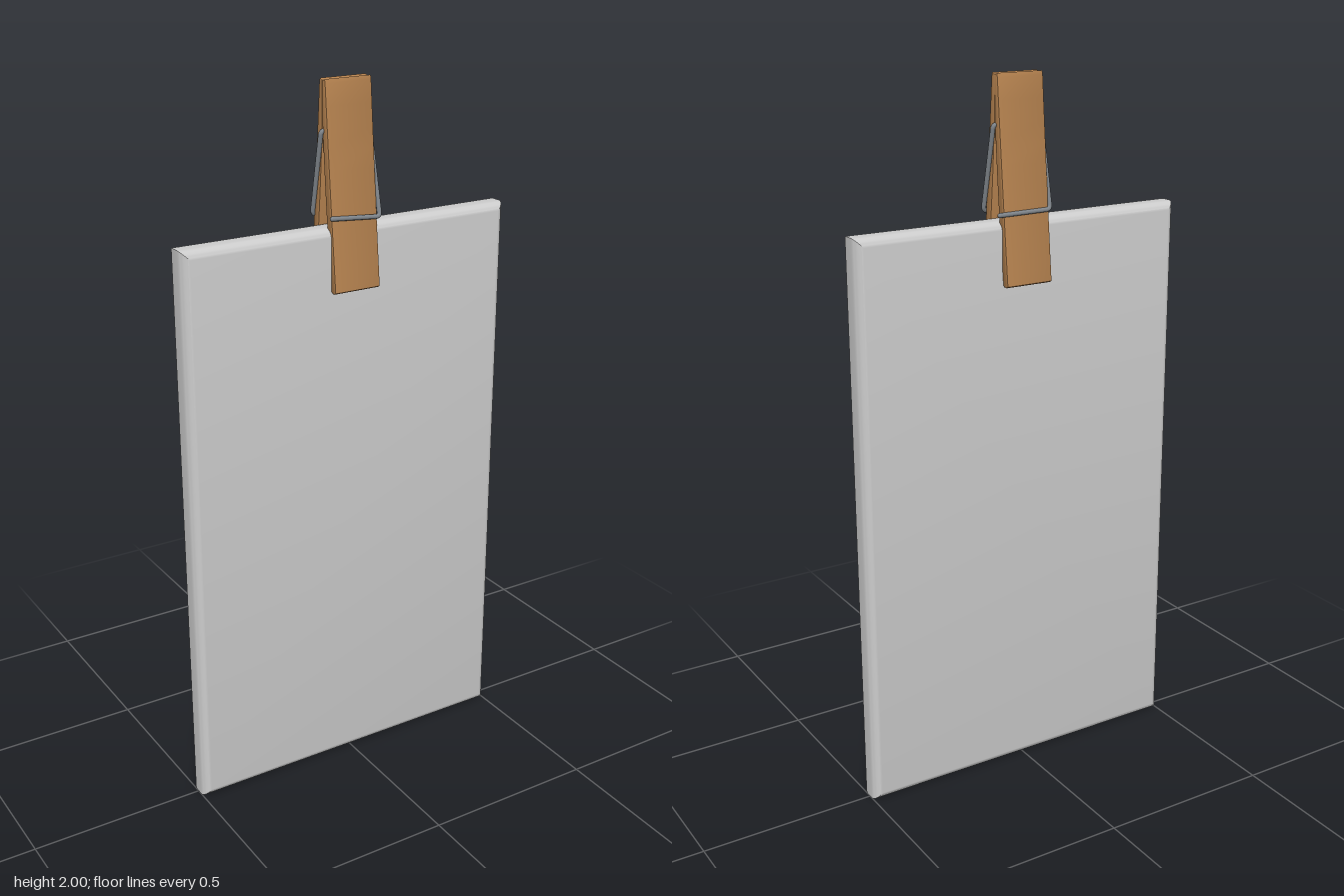
import * as THREE from 'three';
import { toCreasedNormals } from 'three/addons/utils/BufferGeometryUtils.js';

const material = (color) => new THREE.MeshStandardMaterial({ color });

function addMesh(parent, name, geometry, mat) {
  const mesh = new THREE.Mesh(geometry, mat);
  mesh.name = name;
  parent.add(mesh);
  return mesh;
}

// Flat panel with rounded edges that meet in mitred corners
function panelGeometry(width, height, depth, round) {
  const w = width / 2 - round, h = height / 2 - round;
  const shape = new THREE.Shape([
    new THREE.Vector2(-w, -h), new THREE.Vector2(w, -h),
    new THREE.Vector2(w, h), new THREE.Vector2(-w, h),
  ]);
  const geometry = new THREE.ExtrudeGeometry(shape, {
    depth: depth - 2 * round, bevelSize: round, bevelThickness: round, bevelSegments: 8,
  });
  geometry.translate(0, height / 2, -depth / 2 + round);
  return toCreasedNormals(geometry, 0.5);
}

// One wooden half of the peg: side profile in (z, y), extruded across x
function pegLegGeometry(width) {
  const bevel = 0.003;
  const shape = new THREE.Shape();
  shape.moveTo(0.003, 1.995);
  shape.lineTo(0.003, 1.89);
  shape.quadraticCurveTo(0.015, 1.68, 0.043, 1.452);
  shape.quadraticCurveTo(0.052, 1.445, 0.061, 1.452);
  shape.quadraticCurveTo(0.036, 1.7, 0.012, 1.99);
  shape.lineTo(0.010, 1.997);
  shape.closePath();
  const geometry = new THREE.ExtrudeGeometry(shape, {
    depth: width - 2 * bevel, bevelSize: bevel, bevelThickness: bevel,
    bevelSegments: 2, curveSegments: 10,
  });
  geometry.translate(0, 0, -width / 2 + bevel);
  geometry.rotateY(-Math.PI / 2);
  return toCreasedNormals(geometry, 0.5);
}

export function createModel() {
  const model = new THREE.Group();
  model.name = 'pinnedPanel';

  const panel = addMesh(model, 'panel', panelGeometry(1, 1.62, 0.082, 0.028), material(0xcccccc));
  panel.position.z = 0.003;

  const peg = new THREE.Group();
  peg.name = 'clothespin';
  peg.position.x = 0.002;
  model.add(peg);

  const wood = material(0xb5824f);
  const legGeometry = pegLegGeometry(0.14);
  addMesh(peg, 'frontLeg', legGeometry, wood);
  addMesh(peg, 'backLeg', legGeometry, wood).rotation.y = Math.PI;

  // Wire spring: front bar, right arm, cross pin, left arm, back bar
  const points = [
    [-0.069, 1.648, 0.047], [0.076, 1.637, 0.05], [0.076, 1.87, -0.004],
    [-0.076, 1.87, 0.004], [-0.074, 1.642, -0.046], [0.082, 1.64, -0.045],
  ].map((p) => new THREE.Vector3(...p));
  const path = new THREE.CurvePath();
  let from = points[0];
  for (let i = 1; i < points.length - 1; i++) {
    const corner = points[i];
    const bend = (to) => corner.clone().add(to.clone().sub(corner).setLength(0.012));
    const start = bend(points[i - 1]), end = bend(points[i + 1]);
    path.add(new THREE.LineCurve3(from, start));
    path.add(new THREE.QuadraticBezierCurve3(start, corner, end));
    from = end;
  }
  path.add(new THREE.LineCurve3(from, points[points.length - 1]));

  const steel = material(0x80868c);
  const wire = 0.0065;
  const spring = new THREE.Group();
  spring.name = 'spring';
  peg.add(spring);
  addMesh(spring, 'springWire', new THREE.TubeGeometry(path, 240, wire, 8), steel);
  // Rounded wire ends
  for (const end of [points[0], points[points.length - 1]]) {
    addMesh(spring, 'wireEnd', new THREE.SphereGeometry(wire, 10, 8), steel).position.copy(end);
  }

  return model;
}
